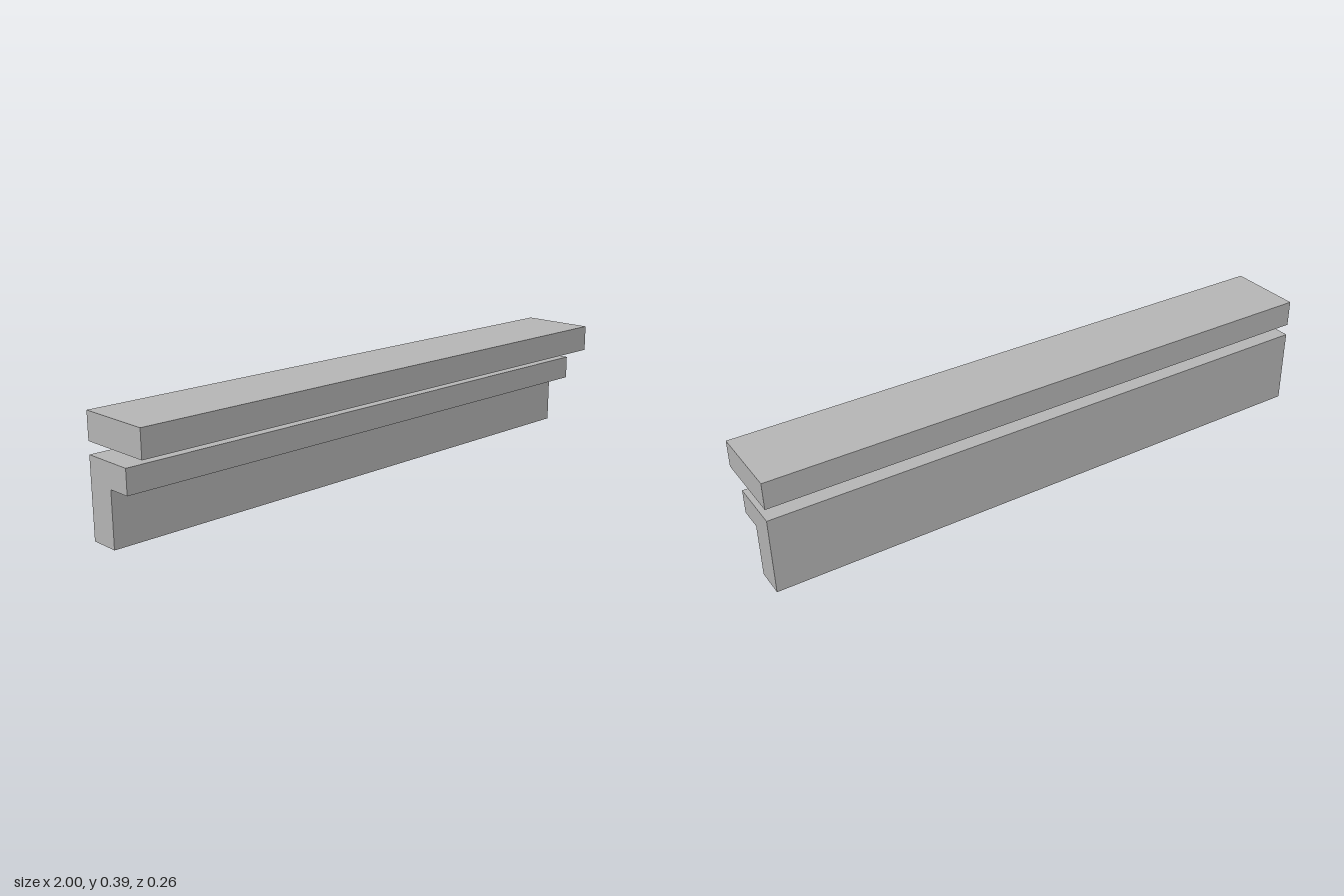
import * as THREE from 'three';

const LENGTH = 2;

// Extrude a [z, y] cross-section along x, centred on x = 0
function bar(name, profile, material) {
  const shape = new THREE.Shape(profile.map(([z, y]) => new THREE.Vector2(z, y)));
  const geometry = new THREE.ExtrudeGeometry(shape, { depth: LENGTH, bevelEnabled: false });
  geometry.translate(0, 0, -LENGTH / 2);
  geometry.rotateY(-Math.PI / 2);
  const mesh = new THREE.Mesh(geometry, material);
  mesh.name = name;
  return mesh;
}

export function createModel() {
  const model = new THREE.Group();
  model.name = 'ledge';

  const grey = new THREE.MeshStandardMaterial({ color: 0xb8b8b8 });
  grey.name = 'light grey';

  // Upright rail with a lip overhanging the front
  model.add(bar('lippedRail', [
    [-0.13, 0], [-0.03, 0], [-0.03, 0.18], [0.05, 0.18], [0.05, 0.26], [-0.13, 0.26],
  ], grey));

  // Flat cap floating above the rail
  const cap = new THREE.Mesh(new THREE.BoxGeometry(LENGTH, 0.09, 0.26), grey);
  cap.name = 'cap';
  cap.position.y = 0.345;
  model.add(cap);

  return model;
}
